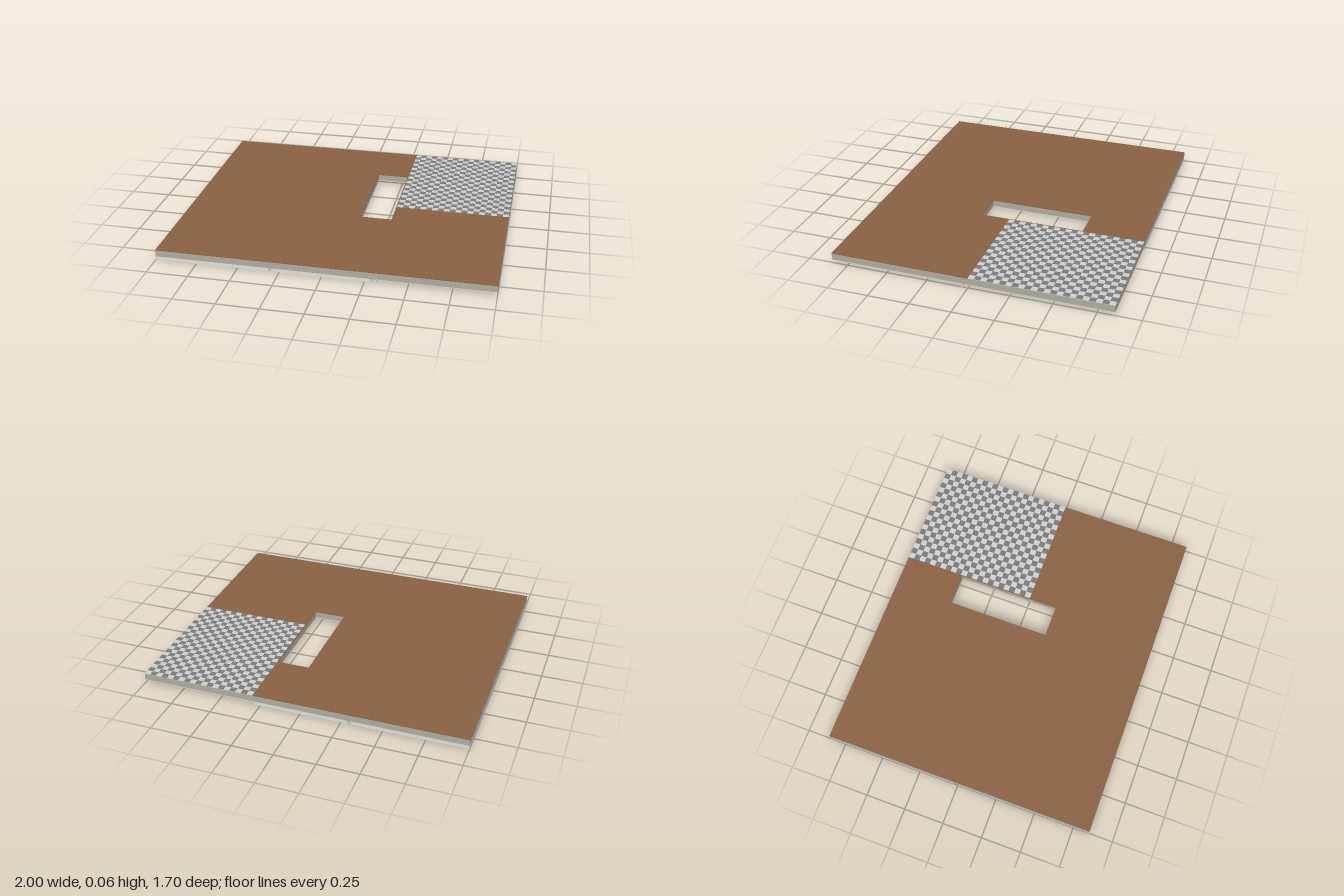
import * as THREE from 'three';
import { mergeGeometries } from 'three/addons/utils/BufferGeometryUtils.js';

const mat = (name, color) => Object.assign(new THREE.MeshStandardMaterial({ color }), { name });

// Box from min/max bounds
function bounds(x0, x1, y0, y1, z0, z1) {
  return new THREE.BoxGeometry(x1 - x0, y1 - y0, z1 - z0)
    .translate((x0 + x1) / 2, (y0 + y1) / 2, (z0 + z1) / 2);
}

// Horizontal plate from an [x, z] outline, with optional holes
function plate(outline, holes, y0, y1) {
  const points = (list) => list.map(([x, z]) => new THREE.Vector2(x, -z));
  const shape = new THREE.Shape(points(outline));
  for (const h of holes) shape.holes.push(new THREE.Path(points(h)));
  return new THREE.ExtrudeGeometry(shape, { depth: y1 - y0, bevelEnabled: false })
    .rotateX(-Math.PI / 2).translate(0, y0, 0);
}

const rect = (x0, x1, z0, z1) => [[x0, z0], [x0, z1], [x1, z1], [x1, z0]];

export function createModel() {
  const group = new THREE.Group();
  const wood = mat('brown floor', 0x8b6243);
  const concrete = mat('warm grey slab', 0xb2aea2);
  const plaster = mat('pale ceiling', 0xe2e2de);
  const tileLight = mat('light tile', 0xd2d2d2);
  const tileDark = mat('dark tile', 0x7c7c7c);
  const add = (name, geometry, material) => {
    const mesh = new THREE.Mesh(geometry, material);
    mesh.name = name;
    group.add(mesh);
  };

  const X = 1, Z = 0.85, TOP = 0.065, UNDER = 0.022, CEIL = 0.018;
  const tileX = 0.295;
  const stair = rect(0.09, 0.29, -0.47, 0.18);

  // Structural slab with the stair opening
  add('slab', plate(rect(-X, X, -Z, Z), [stair], UNDER, 0.061), concrete);

  // Wooden floor around the tiled corner
  add('woodFloor', plate([[-X, -Z], [-X, Z], [X, Z], [X, 0], [tileX, 0], [tileX, -Z]],
    [stair], 0.061, TOP), wood);

  // Chequered tile corner
  add('tileBase', bounds(tileX, X, 0.061, 0.0645, -Z, 0), tileLight);
  const cols = 19, rows = 23, w = (X - tileX) / cols, d = Z / rows;
  const cells = [];
  for (let i = 0; i < cols; i++) {
    for (let j = 0; j < rows; j++) {
      if ((i + j) % 2 === 0) continue;
      cells.push(bounds(tileX + i * w, tileX + (i + 1) * w, 0.0635, TOP, -Z + j * d, -Z + (j + 1) * d));
    }
  }
  add('darkTiles', mergeGeometries(cells), tileDark);

  // Ceiling sheets of the rooms below
  add('leftFrontCeiling', bounds(0.313, X, CEIL, UNDER, 0.03, Z), plaster);
  add('rightFrontCeiling', bounds(-X, -0.313, CEIL, UNDER, 0, Z), plaster);
  add('rightBackCeiling', bounds(-X, -0.313, CEIL, UNDER, -Z, -0.025), plaster);
  add('hallCeiling', plate([[-0.287, -Z], [-0.287, Z], [0.287, Z], [0.287, 0.18], [0.295, 0.18],
    [0.295, 0.01], [X, 0.01], [X, -Z]], [rect(0.09, 0.2899, -0.47, 0.1799)], CEIL, UNDER), plaster);

  // Shallow rims hanging around the rooms
  const t = 0.008;
  const rims = [];
  const rimX = (x0, x1, z) => rims.push(bounds(x0, x1, 0, UNDER, z, z + t));
  const rimZ = (x, z0, z1) => rims.push(bounds(x, x + t, 0, UNDER, z0, z1));
  for (const [z0, z1] of [[-Z, -0.025], [0, Z]]) {
    rimX(-X, -0.313, z0);
    rimX(-X, -0.313, z1 - t);
    rimZ(-X, z0, z1);
    rimZ(-0.313 - t, z0, z1);
  }
  rimX(-0.287, 0.287, -Z);
  rimX(-0.287, 0.287, Z - t);
  rimZ(-0.287, -Z, Z);
  rimZ(0.287 - t, 0.18, Z);
  rimX(0.313, X, 0.03);
  rimX(0.313, X, 0.01 - t);
  rimZ(0.313, 0.03, Z);
  add('ceilingRims', mergeGeometries(rims), plaster);

  // Round ceiling lamps
  for (const [x, z] of [[0.65, 0.39], [0, 0.5], [-0.65, 0.39], [-0.65, -0.45]]) {
    add('ceilingLamp', new THREE.CylinderGeometry(0.045, 0.03, 0.006, 24).translate(x, 0.015, z), plaster);
  }
  return group;
}
